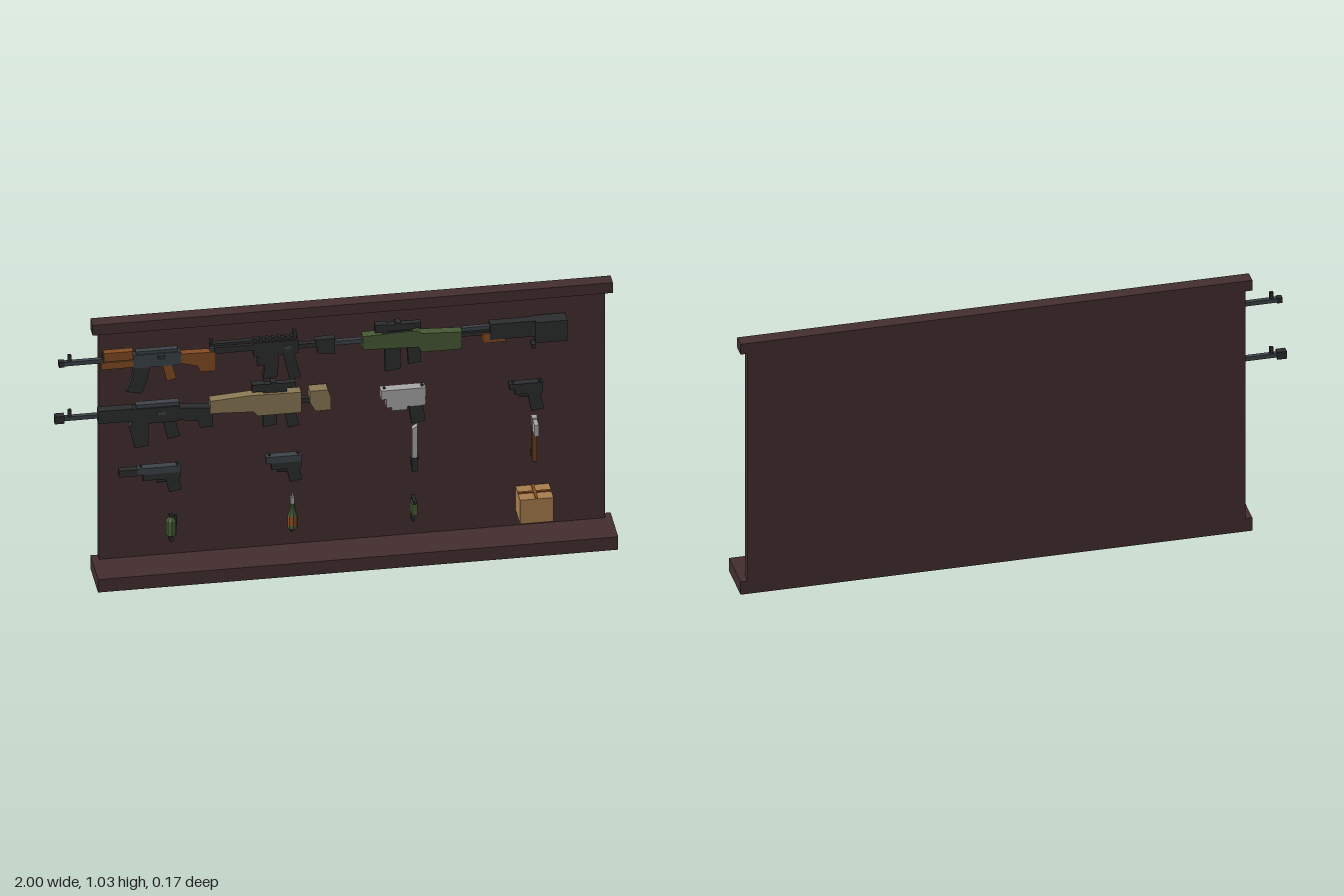
import * as THREE from 'three';

const mat = (name, color) => Object.assign(new THREE.MeshStandardMaterial({ color }), { name });
const wood = mat('darkWood', 0x432d2f), dark = mat('gunmetal', 0x2b2c2d), slate = mat('slate', 0x3c4348),
  orange = mat('orangeWood', 0x844b22), green = mat('green', 0x475935), tan = mat('tan', 0x8a7854),
  silver = mat('silver', 0xa6a6a6), card = mat('cardboard', 0xa57b4c), brown = mat('brownHandle', 0x6b3a1e);
const ZC = -0.015; // depth centre of the displayed items

export function createModel() {
  const root = new THREE.Group();
  let item = root;
  const begin = (name) => { item = new THREE.Group(); item.name = name; root.add(item); };
  const add = (name, geo, m) => {
    const mesh = new THREE.Mesh(geo, m);
    mesh.name = name;
    item.add(mesh);
    return mesh;
  };
  // box from extents in x, y and z
  const block = (name, m, x0, x1, y0, y1, z0, z1) =>
    add(name, new THREE.BoxGeometry(x1 - x0, y1 - y0, z1 - z0), m)
      .position.set((x0 + x1) / 2, (y0 + y1) / 2, (z0 + z1) / 2);
  // box centred on the item depth
  const bar = (name, m, x0, x1, y0, y1, w = 0.03) => block(name, m, x0, x1, y0, y1, ZC - w / 2, ZC + w / 2);
  // extruded side outline centred on the item depth
  const plate = (name, m, w, pts) => {
    const g = new THREE.ExtrudeGeometry(new THREE.Shape(pts.map(p => new THREE.Vector2(...p))),
      { depth: w, bevelEnabled: false });
    add(name, g.translate(0, 0, ZC - w / 2), m);
  };
  // slanted block: top edge at x, y, shifted by dx at the bottom
  const slant = (name, m, x, y, width, h, dx, w = 0.024) =>
    plate(name, m, w, [[x, y], [x + dx, y - h], [x + dx + width, y - h + 0.008], [x + width, y]]);

  // Rack
  begin('rack');
  block('backPanel', wood, -0.835, 0.975, 0.05, 0.99, -0.085, -0.052);
  block('baseShelf', wood, -0.86, 1, 0, 0.053, -0.085, 0.085);
  block('topRail', wood, -0.86, 1, 0.985, 1.027, -0.085, -0.035);

  // Pegs behind the items
  begin('pegs');
  for (const x of [-0.58, -0.15, 0.285, 0.715])
    for (const y of [0.80, 0.575, 0.35, 0.13])
      block('peg', dark, x - 0.006, x + 0.006, y - 0.008, y + 0.008, -0.053, -0.02);

  // Two rifles with long exposed muzzles
  const muzzle = (y) => {
    bar('barrel', slate, -0.98, -0.83, y - 0.008, y + 0.008, 0.016);
    bar('frontSight', dark, -0.953, -0.94, y, y + 0.034, 0.01);
  };
  begin('woodRifle');
  muzzle(0.893);
  bar('muzzleTip', dark, -0.985, -0.965, 0.882, 0.904, 0.02);
  bar('lowerHandguard', orange, -0.835, -0.72, 0.862, 0.89, 0.03);
  bar('upperHandguard', orange, -0.825, -0.72, 0.894, 0.927, 0.026);
  bar('handguardCore', dark, -0.83, -0.72, 0.87, 0.92, 0.02);
  bar('receiver', slate, -0.72, -0.55, 0.857, 0.91, 0.03);
  bar('topCover', slate, -0.71, -0.56, 0.91, 0.922, 0.022);
  bar('ejectionPort', dark, -0.635, -0.605, 0.885, 0.9, 0.034);
  plate('magazine', dark, 0.024, [[-0.715, 0.858], [-0.725, 0.81], [-0.745, 0.762], [-0.69, 0.75], [-0.67, 0.8], [-0.66, 0.858]]);
  slant('grip', orange, -0.615, 0.858, 0.035, 0.065, 0.015);
  plate('stock', orange, 0.028, [[-0.55, 0.9], [-0.55, 0.862], [-0.49, 0.845], [-0.48, 0.82], [-0.425, 0.82], [-0.425, 0.897]]);

  begin('darkRifle');
  muzzle(0.668);
  bar('muzzleTip', dark, -1, -0.965, 0.653, 0.683, 0.026);
  bar('handguard', dark, -0.845, -0.72, 0.642, 0.693, 0.034);
  bar('receiver', dark, -0.725, -0.555, 0.628, 0.69, 0.036);
  bar('topCover', slate, -0.71, -0.555, 0.69, 0.704, 0.026);
  bar('ejectionPort', slate, -0.635, -0.605, 0.66, 0.673, 0.04);
  plate('magazine', dark, 0.03, [[-0.725, 0.63], [-0.735, 0.615], [-0.715, 0.53], [-0.665, 0.535], [-0.665, 0.63]]);
  slant('grip', dark, -0.615, 0.635, 0.045, 0.08, 0.018);
  plate('stock', dark, 0.034, [[-0.555, 0.68], [-0.555, 0.632], [-0.49, 0.62], [-0.48, 0.593], [-0.435, 0.593], [-0.435, 0.67]]);

  // Carbine with carry rail and short stock
  begin('carbine');
  bar('barrel', slate, -0.445, -0.4, 0.893, 0.91, 0.016);
  bar('handguard', dark, -0.43, -0.285, 0.89, 0.915, 0.03);
  bar('topRail', dark, -0.445, -0.135, 0.918, 0.928, 0.018);
  for (let i = 0; i < 7; i++) bar('railTooth', dark, -0.29 + i * 0.022, -0.279 + i * 0.022, 0.926, 0.934, 0.018);
  bar('frontSight', dark, -0.445, -0.435, 0.915, 0.945, 0.01);
  bar('rearSight', dark, -0.148, -0.136, 0.925, 0.957, 0.014);
  bar('receiver', dark, -0.29, -0.13, 0.865, 0.92, 0.03);
  bar('magazineWell', dark, -0.275, -0.2, 0.825, 0.866, 0.028);
  bar('ejectionPort', slate, -0.18, -0.155, 0.885, 0.9, 0.034);
  slant('magazine', dark, -0.25, 0.826, 0.05, 0.06, -0.005);
  slant('grip', dark, -0.185, 0.866, 0.04, 0.11, 0.025);
  bar('bufferTube', dark, -0.13, -0.06, 0.88, 0.897, 0.018);
  plate('stock', dark, 0.026, [[-0.068, 0.91], [-0.06, 0.855], [0.002, 0.85], [0.002, 0.913]]);

  // Telescopic sight shared by two rifles
  const scope = (x0, x1, y) => {
    bar('scopeTube', dark, x0, x1, y, y + 0.022, 0.022);
    bar('scopeLens', dark, x0, x0 + 0.045, y - 0.004, y + 0.026, 0.028);
    bar('scopeMount', dark, x0 + 0.04, x1 - 0.03, y - 0.016, y, 0.014);
    bar('scopeKnob', dark, (x0 + x1) / 2 - 0.01, (x0 + x1) / 2 + 0.01, y + 0.01, y + 0.03, 0.03);
  };
  begin('greenRifle');
  bar('barrel', slate, 0, 0.1, 0.88, 0.897, 0.016);
  plate('body', green, 0.034, [[0.1, 0.912], [0.1, 0.857], [0.3, 0.85], [0.31, 0.828], [0.455, 0.828], [0.455, 0.898], [0.31, 0.905], [0.29, 0.918]]);
  bar('bolt', dark, 0.17, 0.28, 0.905, 0.92, 0.024);
  scope(0.145, 0.31, 0.925);
  slant('magazine', dark, 0.18, 0.855, 0.055, 0.098, 0.002);
  slant('grip', dark, 0.26, 0.855, 0.045, 0.075, 0.004);

  begin('tanRifle');
  plate('body', tan, 0.036, [[-0.445, 0.698], [-0.445, 0.648], [-0.29, 0.64], [-0.275, 0.622], [-0.12, 0.622], [-0.12, 0.705], [-0.3, 0.708]]);
  scope(-0.295, -0.14, 0.722);
  slant('magazine', dark, -0.255, 0.625, 0.05, 0.055, 0);
  slant('grip', dark, -0.18, 0.625, 0.04, 0.065, 0.015);
  bar('stockTube', dark, -0.12, -0.08, 0.655, 0.675, 0.02);
  plate('stock', tan, 0.044, [[-0.09, 0.708], [-0.09, 0.662], [-0.07, 0.625], [-0.015, 0.625], [-0.015, 0.68], [-0.025, 0.708]]);

  // Pump gun with a heavy butt
  begin('pumpGun');
  bar('barrel', slate, 0.455, 0.56, 0.893, 0.908, 0.016);
  bar('tube', dark, 0.455, 0.56, 0.872, 0.888, 0.016);
  bar('pumpGrip', orange, 0.53, 0.61, 0.842, 0.88, 0.028);
  bar('receiver', dark, 0.555, 0.72, 0.855, 0.918, 0.034);
  bar('butt', dark, 0.715, 0.83, 0.832, 0.916, 0.052);

  // Handguns: outline scale shared, front end points to -x
  const handgun = (name, x0, x1, y0, y1, m, gripM, gripEnd, w = 0.028) => {
    begin(name);
    bar('slide', m, x0, x1, (y0 + y1) / 2, y1, w);
    bar('frame', gripM, x0 + 0.02, x1, y0, (y0 + y1) / 2, w - 0.004);
    slant('grip', gripM, x1 - 0.055, y0 + 0.006, 0.045, y0 - gripEnd, 0.014, w - 0.004);
    bar('triggerGuard', dark, x1 - 0.085, x1 - 0.05, y0 - 0.015, y0 - 0.01, 0.012);
    bar('frontSight', dark, x0 + 0.01, x0 + 0.018, y1, y1 + 0.006, 0.008);
    bar('rearSight', dark, x1 - 0.015, x1 - 0.006, y1, y1 + 0.007, 0.014);
  };
  handgun('silverHandgun', 0.165, 0.325, 0.61, 0.682, silver, silver, 0.607, 0.036);
  bar('underBarrel', silver, 0.205, 0.26, 0.594, 0.612, 0.024);
  slant('darkGrip', dark, 0.265, 0.612, 0.05, 0.075, 0.01, 0.028);
  handgun('darkHandgun', 0.625, 0.745, 0.618, 0.662, dark, dark, 0.54);
  handgun('silencedHandgun', -0.705, -0.55, 0.39, 0.442, slate, dark, 0.33);
  bar('silencer', dark, -0.77, -0.7, 0.412, 0.438, 0.024);
  handgun('compactHandgun', -0.245, -0.118, 0.392, 0.445, slate, dark, 0.33);

  // Knife
  begin('knife');
  plate('blade', silver, 0.02, [[0.278, 0.39], [0.297, 0.39], [0.297, 0.523], [0.278, 0.51]]);
  bar('guard', dark, 0.273, 0.302, 0.383, 0.392, 0.026);
  bar('handle', dark, 0.278, 0.297, 0.336, 0.385, 0.022);

  // Hatchet with the blade pointing forward
  begin('hatchet');
  block('handle', brown, 0.707, 0.725, 0.335, 0.508, -0.026, -0.006);
  block('head', silver, 0.708, 0.724, 0.463, 0.51, -0.006, 0.037);
  block('poll', silver, 0.706, 0.726, 0.48, 0.515, -0.03, -0.004);

  // Grenades and bottle
  const round = (name, m, x, y0, y1, r0, r1 = r0) =>
    add(name, new THREE.CylinderGeometry(r1, r0, y1 - y0, 8).toNonIndexed(), m)
      .position.set(x, (y0 + y1) / 2, ZC);
  for (const m of [green, orange]) m.flatShading = true;
  begin('grenade');
  round('body', green, -0.582, 0.155, 0.215, 0.019);
  round('shoulder', green, -0.582, 0.215, 0.228, 0.019, 0.01);
  bar('fuse', dark, -0.59, -0.575, 0.222, 0.238, 0.014);
  bar('lever', dark, -0.572, -0.562, 0.19, 0.234, 0.01);

  begin('bottle');
  round('base', green, -0.148, 0.142, 0.155, 0.018);
  round('label', orange, -0.148, 0.155, 0.192, 0.0185);
  round('shoulder', green, -0.148, 0.192, 0.222, 0.018, 0.009);
  round('neck', green, -0.148, 0.222, 0.245, 0.009);
  bar('cloth', silver, -0.156, -0.142, 0.243, 0.268, 0.016);
  bar('clothTip', silver, -0.152, -0.146, 0.265, 0.28, 0.008);

  begin('smallGrenade');
  bar('body', green, 0.275, 0.296, 0.16, 0.208, 0.04);
  bar('fuse', dark, 0.28, 0.291, 0.208, 0.22, 0.05);

  // Carton with crossing tape strips
  begin('carton');
  block('box', card, 0.655, 0.775, 0.115, 0.213, -0.052, 0.047);
  block('tapeAlong', orange, 0.655, 0.775, 0.213, 0.217, -0.007, 0.003);
  block('tapeAcross', orange, 0.71, 0.72, 0.213, 0.217, -0.052, 0.047);

  return root;
}
